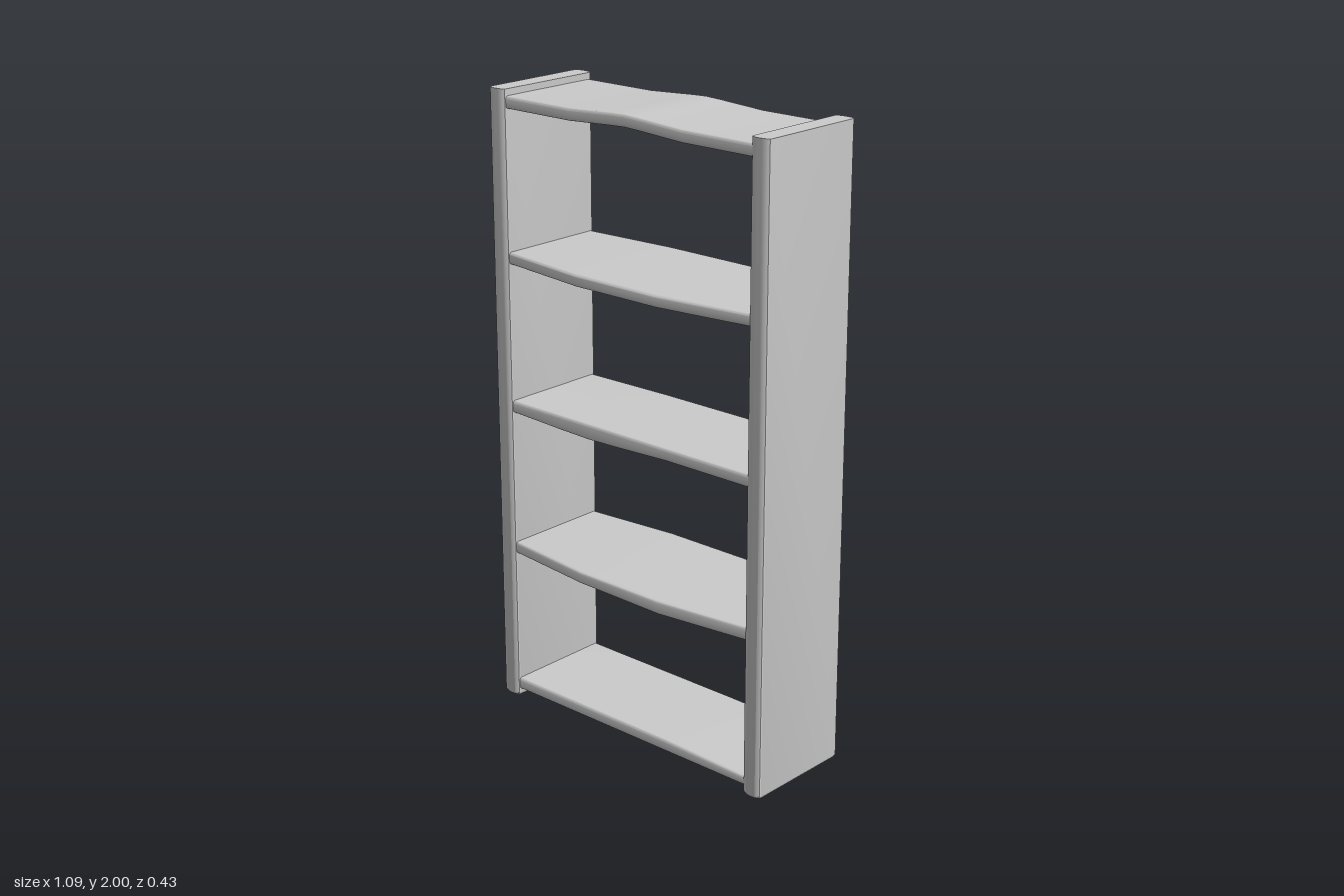
import * as THREE from 'three';
import { toCreasedNormals } from 'three/addons/utils/BufferGeometryUtils.js';

const material = new THREE.MeshStandardMaterial({ color: 0xcccccc });

// Cross-section: rectangle in (y, z) with elliptical corners, anticlockwise seen from +x
function section([x, y0, y1, z0, z1], ry, rz, steps = 4) {
  const corners = [[y1 - ry, z1 - rz], [y0 + ry, z1 - rz], [y0 + ry, z0 + rz], [y1 - ry, z0 + rz]];
  const ring = [];
  corners.forEach(([y, z], q) => {
    for (let i = 0; i <= steps; i++) {
      const a = (q + i / steps) * Math.PI / 2;
      ring.push([x, y + ry * Math.cos(a), z + rz * Math.sin(a)]);
    }
  });
  return ring;
}

// Board through stations [x, bottom, top, back, front], capped at both ends
function board(name, stations, ry, rz) {
  const rings = stations.map((s) => section(s, ry, rz));
  const n = rings[0].length, last = rings.length - 1;
  const pos = [];
  const tri = (...pts) => pts.forEach((p) => pos.push(...p));
  for (let i = 0; i < last; i++) {
    for (let j = 0; j < n; j++) {
      const k = (j + 1) % n, a = rings[i], b = rings[i + 1];
      tri(a[j], a[k], b[j]);
      tri(a[k], b[k], b[j]);
    }
  }
  for (let j = 1; j < n - 1; j++) {
    tri(rings[last][0], rings[last][j], rings[last][j + 1]);
    tri(rings[0][0], rings[0][j + 1], rings[0][j]);
  }
  const geometry = new THREE.BufferGeometry();
  geometry.setAttribute('position', new THREE.Float32BufferAttribute(pos, 3));
  const mesh = new THREE.Mesh(toCreasedNormals(geometry, 0.5), material);
  mesh.name = name;
  return mesh;
}

export function createModel() {
  const group = new THREE.Group();
  group.name = 'bookshelf';

  // Upright side panels with softly rounded front and back edges
  for (const side of [1, -1]) {
    const panel = board(side > 0 ? 'leftPanel' : 'rightPanel', [
      [0, -0.029, 0.029, -0.191, 0.181],
      [0.008, -0.033, 0.033, -0.195, 0.185],
      [2, -0.033, 0.033, -0.195, 0.185],
    ], 0.026, 0.012);
    panel.rotation.z = Math.PI / 2;
    panel.position.x = side * 0.512;
    group.add(panel);
  }

  // Shelves, each hand-cut with its own bow or sag
  const B = -0.187, F = 0.175, E = 0.482;
  const shelves = {
    bottomShelf: [
      [-E, 0.022, 0.062, B, F], [0.16, 0.022, 0.062, B, F], [E, 0.022, 0.053, B, F],
    ],
    lowerShelf: [
      [-E, 0.503, 0.543, B, F], [-0.16, 0.503, 0.543, -0.217, 0.211],
      [0.16, 0.498, 0.543, -0.217, 0.211], [E, 0.5, 0.543, B, F],
    ],
    middleShelf: [
      [-E, 0.98, 1.02, B, F], [-0.28, 0.972, 1.02, -0.193, F], [-0.16, 0.969, 1.02, -0.196, F],
      [-0.04, 0.972, 1.02, -0.196, F], [0.16, 0.98, 1.02, -0.196, F], [E, 0.98, 1.02, B, F],
    ],
    upperShelf: [
      [-E, 1.46, 1.498, B, F], [-0.16, 1.46, 1.498, -0.208, 0.217],
      [0.16, 1.46, 1.498, -0.208, 0.217], [E, 1.46, 1.498, B, F],
    ],
    topShelf: [
      [-E, 1.94, 1.979, B, F], [-0.22, 1.94, 1.979, B, F], [-0.05, 1.95, 1.989, B, F],
      [0, 1.952, 1.991, B, F], [0.05, 1.95, 1.989, B, F], [0.22, 1.94, 1.979, B, F],
      [E, 1.94, 1.979, B, F],
    ],
  };
  for (const [name, stations] of Object.entries(shelves)) {
    group.add(board(name, stations, 0.009, 0.009));
  }
  return group;
}
